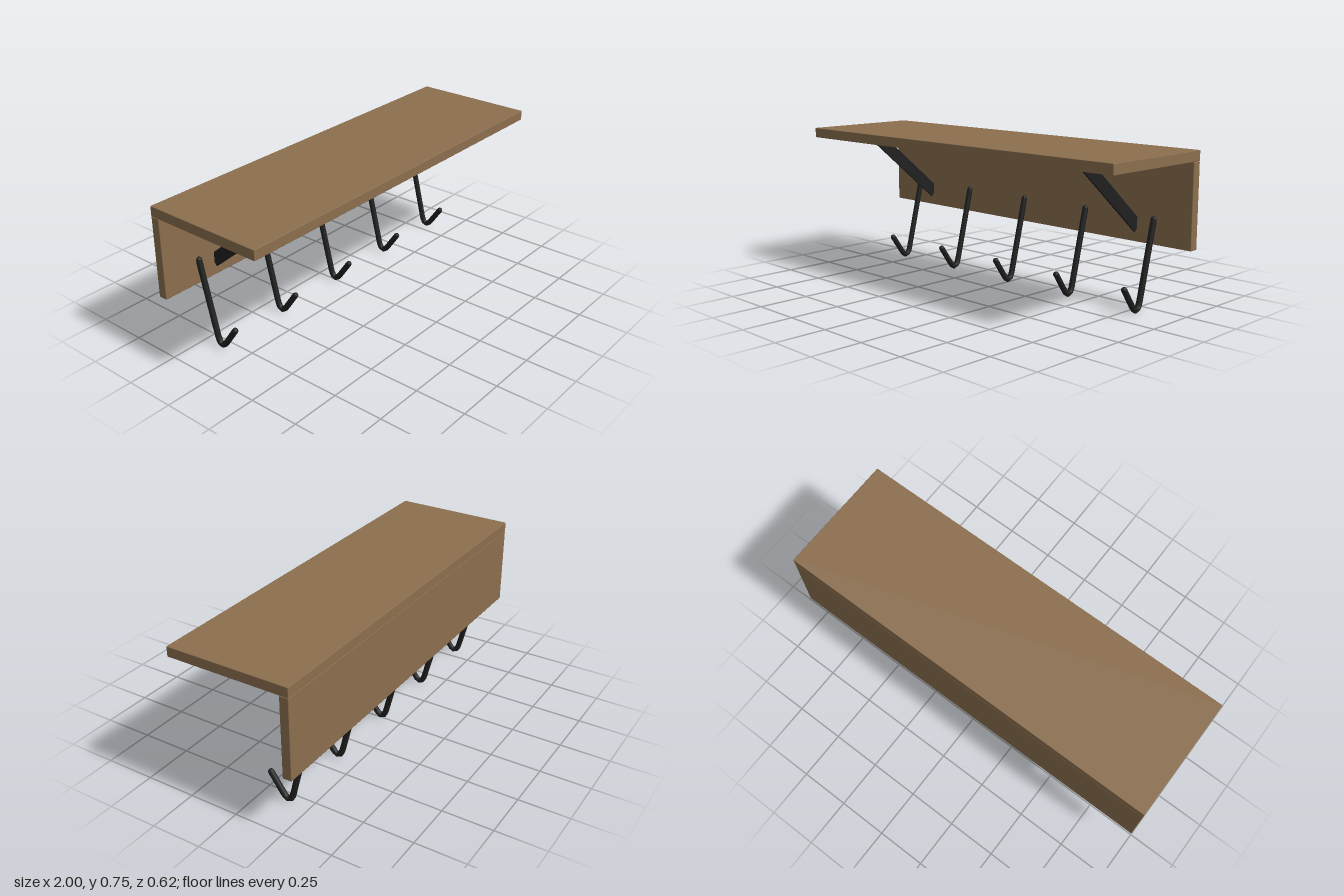
import * as THREE from 'three';
import { RoundedBoxGeometry } from 'three/addons/geometries/RoundedBoxGeometry.js';

const wood = new THREE.MeshStandardMaterial({ color: 0x8c6f4f });
wood.name = 'wood';
const iron = new THREE.MeshStandardMaterial({ color: 0x202020 });
iron.name = 'blackIron';

function addMesh(parent, name, geometry, material, x, y, z) {
  const mesh = new THREE.Mesh(geometry, material);
  mesh.name = name;
  mesh.position.set(x, y, z);
  parent.add(mesh);
  return mesh;
}

export function createModel() {
  const model = new THREE.Group();
  model.name = 'wallShelf';

  // Boards with slightly eased edges
  addMesh(model, 'shelfBoard', new RoundedBoxGeometry(2, 0.05, 0.62, 1, 0.003), wood, 0, 0.725, 0);
  addMesh(model, 'backBoard', new RoundedBoxGeometry(2, 0.4, 0.046, 1, 0.004), wood, 0, 0.5, -0.287);

  // Diagonal flat braces, let into both boards
  const braceGeometry = new THREE.BoxGeometry(0.01, 0.0625, 0.5);
  for (const side of [-1, 1]) {
    const brace = addMesh(model, side > 0 ? 'leftBrace' : 'rightBrace', braceGeometry, iron, side * 0.7, 0.5335, -0.0785);
    brace.rotation.x = -THREE.MathUtils.degToRad(40);
  }

  // Hook: straight shank, rounded bend, short upturned tip
  const radius = 0.0145;
  const top = new THREE.Vector3(0, 0.42, -0.26);
  const bendStart = new THREE.Vector3(0, 0.06, -0.17);
  const bendControl = new THREE.Vector3(0, -0.02, -0.151);
  const bendEnd = new THREE.Vector3(0, 0.04, -0.11);
  const tip = new THREE.Vector3(0, 0.127, -0.05);
  const path = new THREE.CurvePath();
  path.add(new THREE.LineCurve3(top, bendStart));
  path.add(new THREE.QuadraticBezierCurve3(bendStart, bendControl, bendEnd));
  path.add(new THREE.LineCurve3(bendEnd, tip));
  const rodGeometry = new THREE.TubeGeometry(path, 32, radius, 10, false);
  const endGeometry = new THREE.SphereGeometry(radius, 10, 8);

  for (let i = 0; i < 5; i++) {
    const hook = new THREE.Group();
    hook.name = `hook${i + 1}`;
    hook.position.x = -0.8 + i * 0.4;
    addMesh(hook, 'hookRod', rodGeometry, iron, 0, 0, 0);
    addMesh(hook, 'hookTopEnd', endGeometry, iron, top.x, top.y, top.z);
    addMesh(hook, 'hookTip', endGeometry, iron, tip.x, tip.y, tip.z);
    model.add(hook);
  }

  return model;
}
